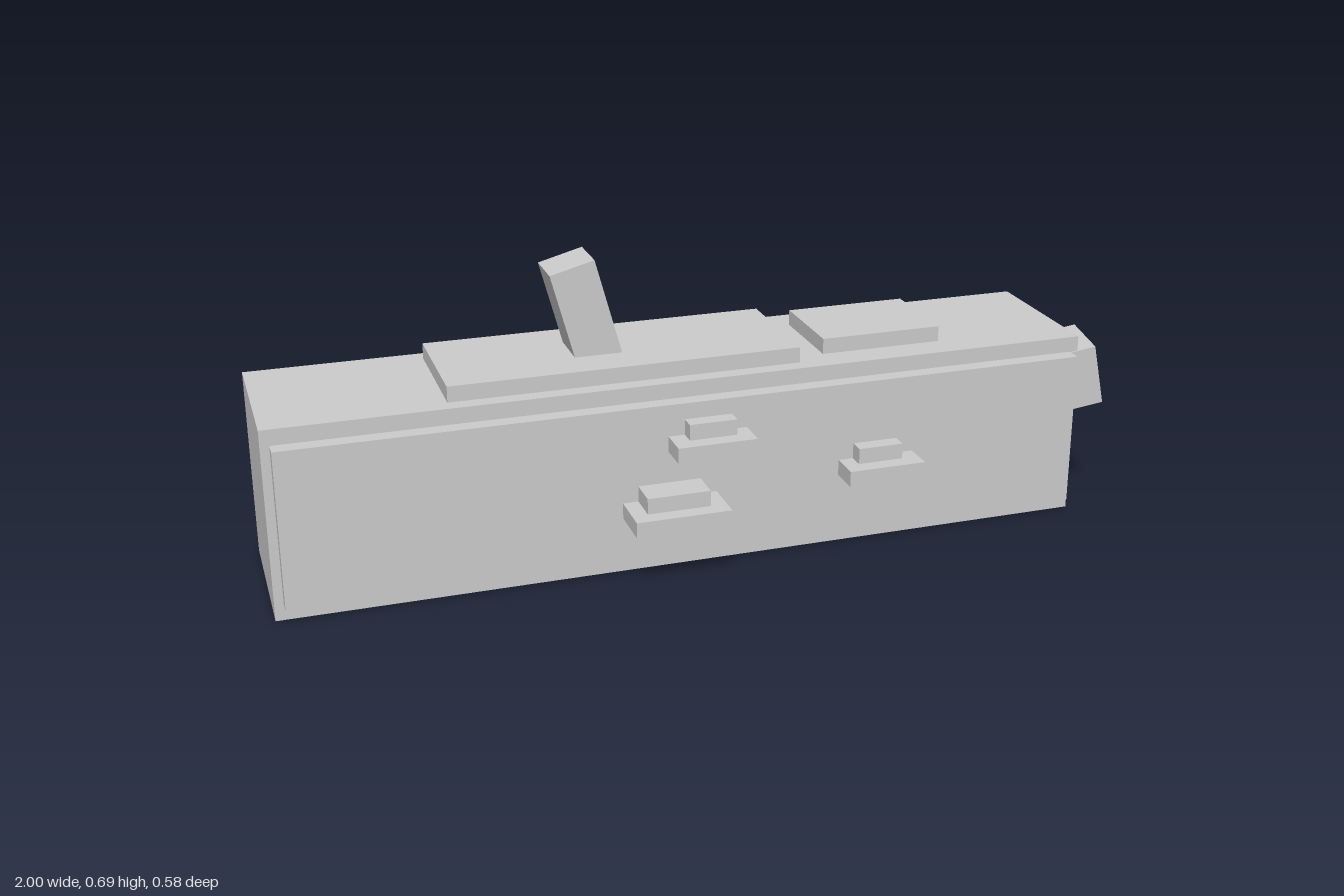
import * as THREE from 'three';

const bark = new THREE.MeshStandardMaterial({ color: 0xcccccc });
bark.name = 'paleGrey';
const barkShell = new THREE.MeshStandardMaterial({ color: 0xcccccc, side: THREE.DoubleSide });
barkShell.name = 'paleGreyShell';

export function createModel() {
  const model = new THREE.Group();
  model.name = 'log';

  // Box given by its limits on each axis
  const block = (name, [x0, x1], [y0, y1], [z0, z1], parent = model, material = bark) => {
    const mesh = new THREE.Mesh(new THREE.BoxGeometry(x1 - x0, y1 - y0, z1 - z0), material);
    mesh.position.set((x0 + x1) / 2, (y0 + y1) / 2, (z0 + z1) / 2);
    mesh.name = name;
    parent.add(mesh);
    return mesh;
  };

  // Tilted box: yaw about y, then roll about z
  const stub = (name, size, position, yaw, roll) => {
    const mesh = new THREE.Mesh(new THREE.BoxGeometry(...size), bark);
    mesh.position.set(...position);
    mesh.rotation.set(0, THREE.MathUtils.degToRad(yaw), THREE.MathUtils.degToRad(roll), 'ZYX');
    mesh.name = name;
    model.add(mesh);
  };

  // Hollow trunk, open underneath
  const trunk = block('trunk', [-1, 0.87], [0, 0.434], [-0.216, 0.145], model, barkShell);
  const index = Array.from(trunk.geometry.index.array);
  index.splice(18, 6);
  trunk.geometry.setIndex(index);
  trunk.geometry.clearGroups();

  // Bark slabs on the sides and top
  block('frontBark', [-0.98, 0.85], [0.038, 0.398], [0.145, 0.181]);
  block('backBark', [-0.98, 0.85], [0.038, 0.398], [-0.252, -0.216]);
  block('backPatch', [-0.535, -0.03], [0.146, 0.36], [-0.288, -0.252]);
  block('largeTopPatch', [-0.605, 0.19], [0.434, 0.47], [-0.18, 0.109]);
  block('smallTopPatch', [0.26, 0.545], [0.434, 0.47], [-0.144, 0.073]);

  // Two-tier shelf fungi on the front: lower x, upper x, base height, lower depth
  const fungi = [
    [[-0.14, 0.04], [-0.103, 0.005], 0.289, 0.253],
    [[-0.245, -0.03], [-0.21, -0.067], 0.145, 0.289],
    [[0.26, 0.44], [0.295, 0.4], 0.181, 0.253],
  ];
  for (const [lower, upper, y, z] of fungi) {
    const fungus = new THREE.Group();
    fungus.name = 'shelfFungus';
    block('lowerShelf', lower, [y, y + 0.036], [0.181, z], fungus);
    block('upperShelf', upper, [y + 0.036, y + 0.072], [0.181, z - 0.036], fungus);
    model.add(fungus);
  }

  // Broken branches
  stub('topBranch', [0.104, 0.26, 0.108], [-0.271, 0.549, -0.036], 0, 15);
  stub('upperEndBranch', [0.12, 0.145, 0.147], [0.879, 0.328, 0.075], -10, 12);
  stub('lowerEndBranch', [0.14, 0.143, 0.108], [0.906, 0.142, -0.164], 14, -8.5);

  return model;
}
